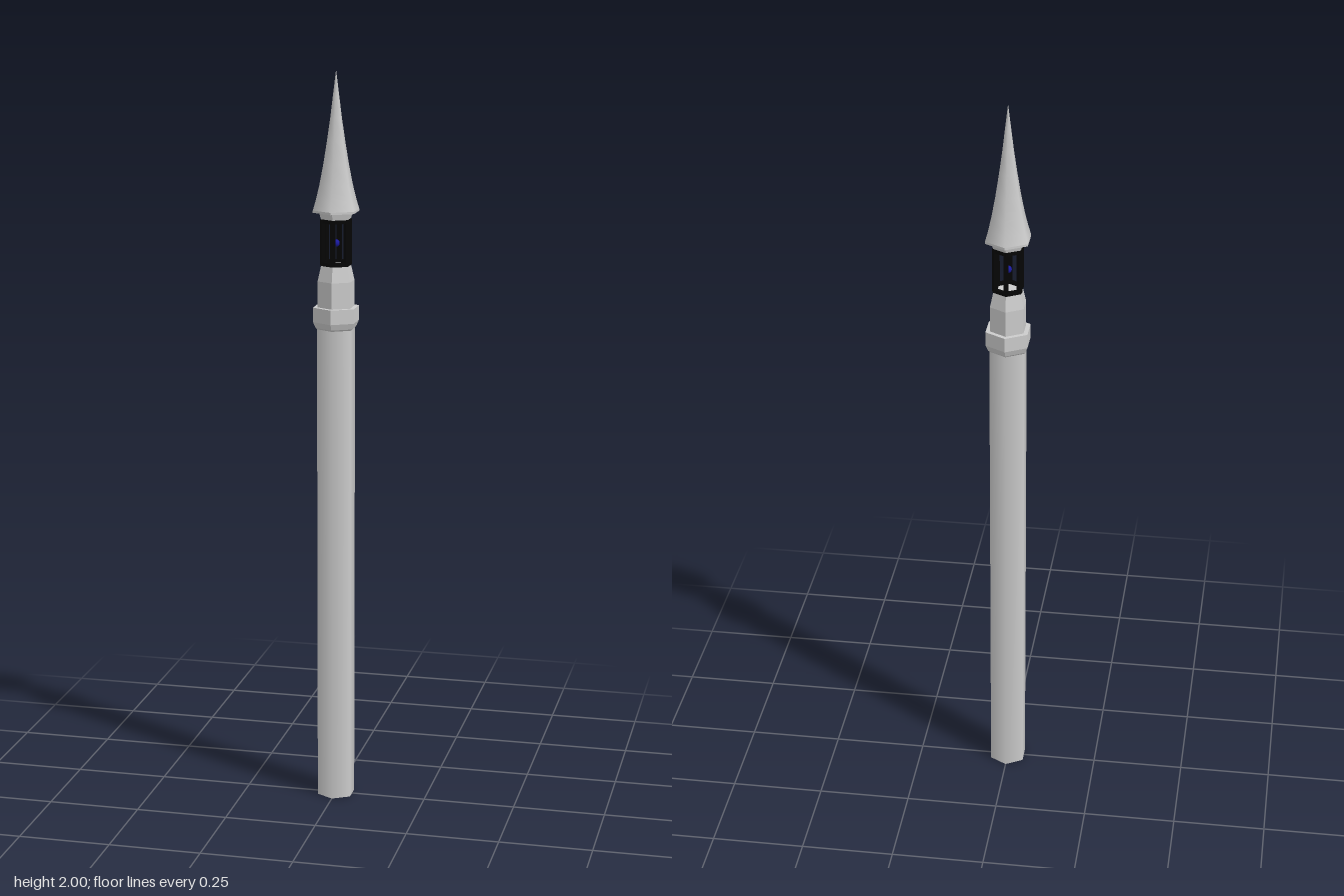
import * as THREE from 'three';

const SIDES = 6;

export function createModel() {
  const model = new THREE.Group();
  const stone = new THREE.MeshStandardMaterial({ color: 0xcccccc });
  const facetedStone = new THREE.MeshStandardMaterial({ color: 0xcccccc, flatShading: true });
  const iron = new THREE.MeshStandardMaterial({ color: 0x050505, flatShading: true });
  const blue = new THREE.MeshStandardMaterial({ color: 0x1a1aa0 });

  const add = (name, geometry, material, parent = model) => {
    const mesh = new THREE.Mesh(geometry, material);
    mesh.name = name;
    parent.add(mesh);
    return mesh;
  };
  // Hexagonal turned part from [radius, height] pairs, listed bottom to top
  const hexLathe = (points) =>
    new THREE.LatheGeometry(points.map(([r, y]) => new THREE.Vector2(r, y)), SIDES);

  // Tall shaft with softly shaded sides and a closed foot
  add('shaft', new THREE.CylinderGeometry(0.053, 0.053, 1.33, SIDES), stone).position.y = 0.665;

  // Flared collar at the top of the shaft
  add('collar', hexLathe([[0.052, 1.315], [0.057, 1.32], [0.064, 1.336], [0.064, 1.375], [0, 1.375]]), facetedStone);

  // Faceted neck that narrows under the lantern
  add('neck', hexLathe([[0.051, 1.375], [0.051, 1.445], [0.041, 1.488], [0, 1.488]]), facetedStone);

  // Open lantern cage: two hexagonal rings joined by corner bars
  const lantern = new THREE.Group();
  lantern.name = 'lantern';
  model.add(lantern);
  for (const [name, y] of [['lowerRing', 1.486], ['upperRing', 1.6]]) {
    add(name, hexLathe([[0.031, y], [0.043, y], [0.043, y + 0.01], [0.031, y + 0.01], [0.031, y]]), iron, lantern);
  }
  for (let i = 0; i < SIDES; i++) {
    const a = (i / SIDES) * Math.PI * 2;
    const bar = add('cornerBar', new THREE.BoxGeometry(0.012, 0.12, 0.01), iron, lantern);
    bar.position.set(Math.sin(a) * 0.037, 1.548, Math.cos(a) * 0.037);
    bar.rotation.y = a;
  }

  // Small lamp in the middle of the cage
  add('lamp', new THREE.SphereGeometry(0.01, 12, 8), blue, lantern).position.y = 1.545;

  // Eaves under the roof, closed below
  add('eaves', hexLathe([[0, 1.608], [0.041, 1.608], [0.047, 1.628], [0.064, 1.628], [0.064, 1.634]]), facetedStone);

  // Concave pointed roof
  add('spire', hexLathe([
    [0.064, 1.634], [0.056, 1.66], [0.046, 1.7], [0.035, 1.755],
    [0.025, 1.815], [0.016, 1.875], [0.009, 1.93], [0, 2],
  ]), stone);

  return model;
}
